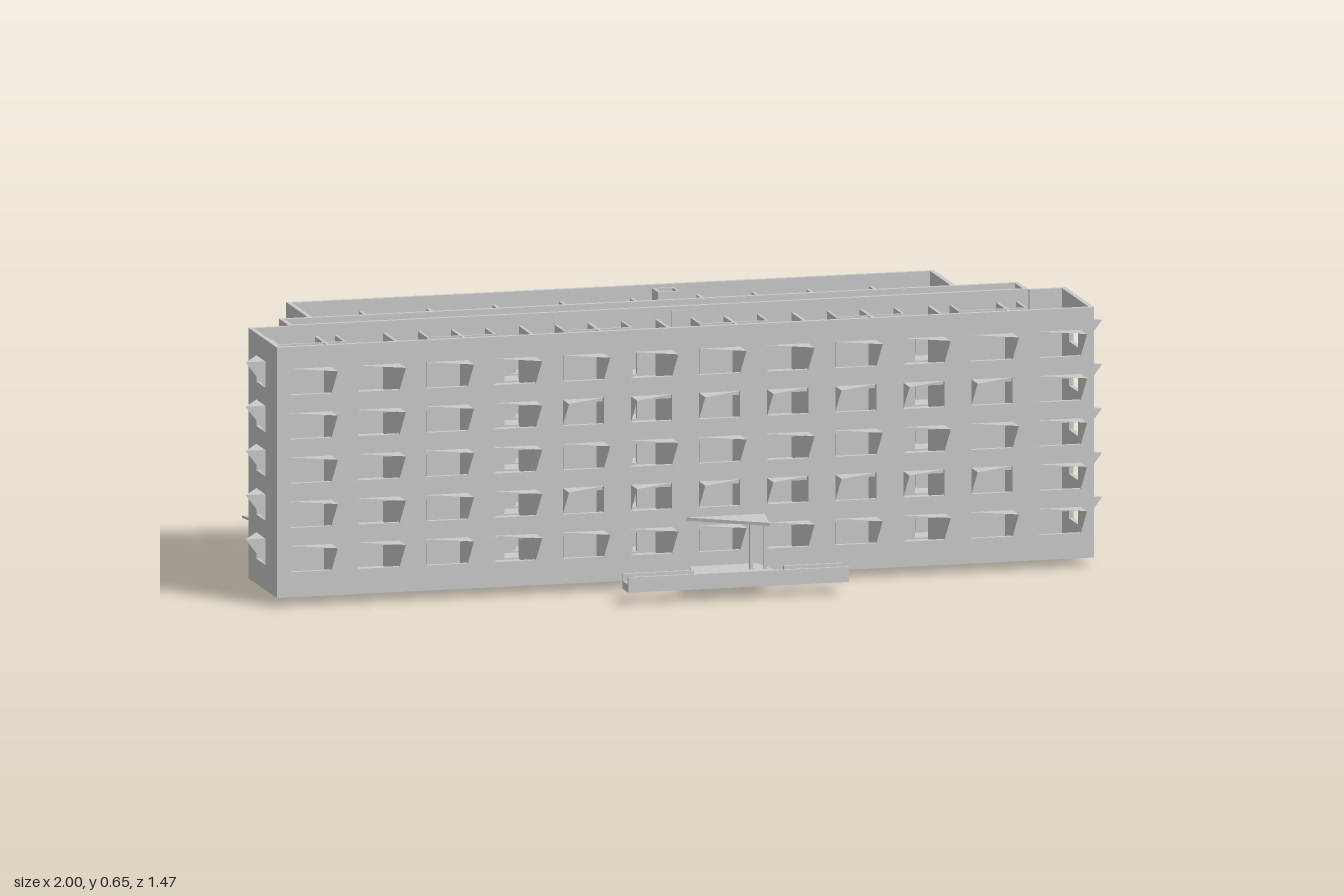
import * as THREE from 'three';

const T = 0.012;                       // wall thickness
const Y0 = 0.022, TOP = 0.65, STOREY = 0.111, LEVELS = 5;
const FRONT = 0.219, MID_F = -0.055, MID_B = -0.152, BACK = -0.357;
const mat = new THREE.MeshStandardMaterial({ color: 0xcccccc, flatShading: true, side: THREE.DoubleSide });

export function createModel() {
  const model = new THREE.Group();
  model.name = 'apartmentBlock';
  const block = new THREE.Group();
  block.name = 'building';
  block.rotation.y = -0.5115;          // the block stands at an angle
  model.add(block);

  const add = (name, geo, parent = block) => {
    const m = new THREE.Mesh(geo, mat);
    m.name = name;
    parent.add(m);
    return m;
  };
  // box from min and max corners
  const box = (name, x0, x1, y0, y1, z0, z1) => {
    const m = add(name, new THREE.BoxGeometry(x1 - x0, y1 - y0, z1 - z0));
    m.position.set((x0 + x1) / 2, (y0 + y1) / 2, (z0 + z1) / 2);
  };
  // horizontal plate from plan points [x, z]
  const plate = (name, pts, y, h) => {
    const s = new THREE.Shape(pts.map(([x, z]) => new THREE.Vector2(x, -z)));
    const g = new THREE.ExtrudeGeometry(s, { depth: h, bevelEnabled: false });
    g.rotateX(-Math.PI / 2);
    g.translate(0, y, 0);
    add(name, g);
  };
  // wall from a to b (outer face to the right-hand side); holes are [centre, width, y0, y1]
  const wall = (name, a, b, holes = [], y0 = Y0, y1 = TOP) => {
    const dx = b[0] - a[0], dz = b[1] - a[1], len = Math.hypot(dx, dz);
    const s = new THREE.Shape();
    s.moveTo(0, y0); s.lineTo(len, y0); s.lineTo(len, y1); s.lineTo(0, y1); s.closePath();
    for (const [c, w, h0, h1] of holes) {
      const p = new THREE.Path();
      p.moveTo(c - w / 2, h0); p.lineTo(c - w / 2, h1);
      p.lineTo(c + w / 2, h1); p.lineTo(c + w / 2, h0); p.closePath();
      s.holes.push(p);
    }
    const g = new THREE.ExtrudeGeometry(s, { depth: T, bevelEnabled: false });
    g.translate(0, 0, -T);
    const grp = new THREE.Group();
    grp.name = name + 'Group';
    grp.position.set(a[0], 0, a[1]);
    grp.rotation.y = Math.atan2(-dz, dx);
    block.add(grp);
    add(name, g, grp);
    return grp;
  };
  // triangular hood with a triangular fin on one side of a window
  const sunshade = (parent, c, w, y0, y1, side, d) => {
    const xs = c + side * w / 2, xo = c - side * w / 2;
    const g = new THREE.BufferGeometry();
    g.setAttribute('position', new THREE.Float32BufferAttribute(
      [xo, y1, 0, xs, y1, 0, xs, y1, d, xs, y1, 0, xs, y0, 0, xs, y1, d], 3));
    g.computeVertexNormals();
    add('sunshade', g, parent);
  };
  const sill = k => 0.085 + k * STOREY, head = k => sill(k) + 0.066;
  // repeats columns [centre, width] on all storeys
  const rows = cols => {
    const out = [];
    for (let k = 0; k < LEVELS; k++) for (const [c, w] of cols) out.push([c, w, sill(k), head(k)]);
    return out;
  };

  // Front wing: twelve bays with shaded windows
  const fx0 = -1.024, fx1 = 1.06, bay = (fx1 - fx0) / 12;
  const frontCols = Array.from({ length: 12 }, (_, i) => [(i + 0.5) * bay, 0.105]);
  const frontWall = wall('frontFacade', [fx0, FRONT], [fx1, FRONT], rows(frontCols));
  for (let k = 0; k < LEVELS; k++) frontCols.forEach(([c, w], i) => {
    const side = k % 2 && i > 3 && i < 11 ? -1 : 1;
    sunshade(frontWall, c, w, sill(k), head(k), side, 0.06);
  });
  const endCols = c => [[c, 0.085]];
  const endR = wall('frontWingLeftEnd', [fx1, FRONT], [fx1, MID_F], rows(endCols(0.155)));
  const endL = wall('frontWingRightEnd', [fx0, MID_F], [fx0, FRONT], rows(endCols(0.12)));
  for (let k = 0; k < LEVELS; k++) {
    sunshade(endR, 0.155, 0.085, sill(k), head(k), -1, 0.05);
    sunshade(endL, 0.12, 0.085, sill(k), head(k), 1, 0.05);
  }
  // Back returns of the front wing beyond the corridor
  wall('frontWingBackReturn', [fx1, MID_F], [0.965, MID_F]);
  wall('frontWingBackReturn', [-0.92, MID_F], [fx0, MID_F]);

  // Corridor walls with a door for every bay
  const cx0 = -0.92, cx1 = 0.965;
  const doors = n => {
    const out = [];
    for (let k = 0; k < LEVELS; k++) for (let i = 0; i < n; i++)
      out.push([0.12 + i * (cx1 - cx0 - 0.24) / (n - 1), 0.04, 0.04 + k * STOREY, 0.125 + k * STOREY]);
    return out;
  };
  wall('corridorFrontWall', [cx0, MID_F], [cx1, MID_F], doors(12));
  wall('corridorBackWall', [cx1, MID_B], [cx0, MID_B], doors(11).filter(h => h[0] > 0.17 && h[0] < 1.75));
  wall('corridorLeftEnd', [cx1, MID_F], [cx1, MID_B], rows([[0.07, 0.025]]));
  wall('corridorRightEnd', [cx0, MID_B], [cx0, MID_F], rows([[0.03, 0.025]]));

  // Back wing: mixed window widths and a stairwell strip
  const bx0 = -0.847, bx1 = 0.804;
  const backCols = [[0.66, 0.03], [0.53, 0.1], [0.425, 0.03], [0.365, 0.03], [0.275, 0.08], [-0.06, 0.09],
    [-0.19, 0.03], [-0.25, 0.07], [-0.41, 0.1], [-0.56, 0.06], [-0.706, 0.03]].map(([u, w]) => [bx1 - u, w]);
  const stairHoles = Array.from({ length: 10 }, (_, i) =>
    [bx1 - 0.11 + (i % 2 ? 0.01 : -0.01), 0.13, 0.062 + i * STOREY / 2, 0.108 + i * STOREY / 2]);
  wall('backFacade', [bx1, BACK], [bx0, BACK], [...rows(backCols), ...stairHoles]);
  wall('backWingLeftEnd', [bx1, MID_B], [bx1, BACK], rows([[0.08, 0.09]]));
  wall('backWingRightEnd', [bx0, BACK], [bx0, MID_B], rows([[0.125, 0.09]]));
  // Wide triangular hoods on the ends of the back wing
  for (let k = 0; k < LEVELS; k++) {
    plate('endHood', [[bx1, MID_B], [bx1 + 0.06, MID_B], [bx1, BACK]], head(k), 0.005);
    plate('endHood', [[bx0, MID_B], [bx0, BACK], [bx0 - 0.06, MID_B]], head(k), 0.005);
  }

  // Floors of every storey; the top storey is open
  for (let k = 0; k < LEVELS; k++) {
    const y = 0.028 + k * STOREY;
    box('frontWingFloor', fx0 + T, fx1 - T, y, y + 0.008, MID_F, FRONT - T);
    box('corridorFloor', cx0 + T, cx1 - T, y, y + 0.008, MID_B, MID_F);
    box('backWingFloor', bx0 + T, bx1 - T, y, y + 0.008, BACK + T, MID_B);
  }

  // Partitions between rooms
  const PT = 0.62;
  for (let i = 1; i < 12; i++) {
    const x = fx0 + i * bay;
    box('frontPartition', x - 0.004, x + 0.004, Y0, PT, MID_F, FRONT - T);
  }
  for (const x of [-0.66, -0.49, -0.32, -0.15, 0.03, 0.2, 0.34, 0.48, 0.64])
    box('backPartition', x - 0.004, x + 0.004, Y0, PT, BACK + T, MID_B);
  // Bathroom screens beside the corridor
  for (let i = 0; i < 12; i += 2) {
    const x = fx0 + (i + (i === 0 || i === 10 ? 0.8 : 1)) * bay;
    box('bathroomFront', x - 0.085, x + 0.085, Y0, PT, 0.025, 0.031);
    for (const s of [-1, 1]) box('bathroomSide', x + s * 0.085 - 0.003, x + s * 0.085 + 0.003, Y0, PT, MID_F, 0.031);
  }
  for (const x of [-0.66, -0.32, 0.34, 0.64]) {
    box('bathroomBack', x - 0.08, x + 0.08, Y0, PT, -0.224, -0.218);
    for (const s of [-1, 1]) box('bathroomSide', x + s * 0.08 - 0.003, x + s * 0.08 + 0.003, Y0, PT, -0.224, MID_B);
  }
  // Lift shaft, lobby landing and service duct
  for (const s of [-1, 1]) {
    box('liftShaftSide', 0.1 + s * 0.025 - 0.003, 0.1 + s * 0.025 + 0.003, Y0, TOP, -0.3, -0.25);
    box('liftShaftFace', 0.072, 0.128, Y0, TOP, -0.275 + s * 0.025 - 0.003, -0.275 + s * 0.025 + 0.003);
  }
  box('lobbyLanding', -0.09, 0.02, 0.57, 0.58, -0.25, MID_B - T);
  box('serviceDuct', 0.055, 0.095, Y0, 0.64, -0.08, -0.05);

  // Ground passage through the block
  box('passageBase', 0.03, 0.2, 0, Y0 + 0.01, BACK, FRONT);

  // Front entrance: flared stem, long terrace with low kerb, canopy and posts
  plate('entranceStem', [[0.03, FRONT], [0.0, 0.36], [0.23, 0.36], [0.2, FRONT]], 0.02, 0.03);
  plate('entranceTerrace', [[-0.18, 0.357], [-0.18, 0.416], [0.382, 0.416], [0.382, 0.357]], 0.03, 0.02);
  box('terraceKerb', -0.18, 0.382, 0.05, 0.068, 0.408, 0.416);
  for (const [a, b] of [[-0.18, 0], [0.23, 0.382]]) box('terraceKerb', a, b, 0.05, 0.068, 0.357, 0.365);
  plate('entranceCanopy', [[0.02, FRONT], [0.2, 0.34], [0.22, FRONT]], 0.165, 0.008);
  for (const x of [0.165, 0.2]) box('canopyPost', x - 0.004, x + 0.004, 0.05, 0.168, 0.29, 0.298);

  // Rear terrace and canopy
  box('rearTerrace', -0.3, 0.378, 0.022, 0.045, -0.433, BACK);
  box('rearParapet', -0.3, 0.378, 0.045, 0.078, -0.433, -0.423);
  plate('rearCanopy', [[0.2, BACK], [-0.16, -0.432], [-0.16, BACK]], 0.162, 0.008);

  // Side exits at both corridor ends: landing, rails and canopy
  for (const [x, s] of [[cx1, 1], [cx0, -1]]) {
    const X = d => x + s * d;
    const span = (name, d0, d1, y0, y1, z0, z1) =>
      box(name, Math.min(X(d0), X(d1)), Math.max(X(d0), X(d1)), y0, y1, z0, z1);
    span('exitLanding', 0, 0.075, 0.03, 0.045, -0.15, -0.06);
    for (const y of [0.06, 0.075]) {
      span('exitRail', 0.07, 0.075, y, y + 0.005, -0.15, -0.06);
      span('exitRail', 0, 0.075, y, y + 0.005, -0.15, -0.145);
    }
    span('exitPost', 0.07, 0.075, 0.045, 0.08, -0.15, -0.145);
    span('exitPost', 0.07, 0.075, 0.045, 0.08, -0.065, -0.06);
    plate('exitCanopy', [[x, MID_B], [X(0.095), -0.15], [X(0.075), MID_F], [x, MID_F]], 0.155, 0.006);
  }
  return model;
}
